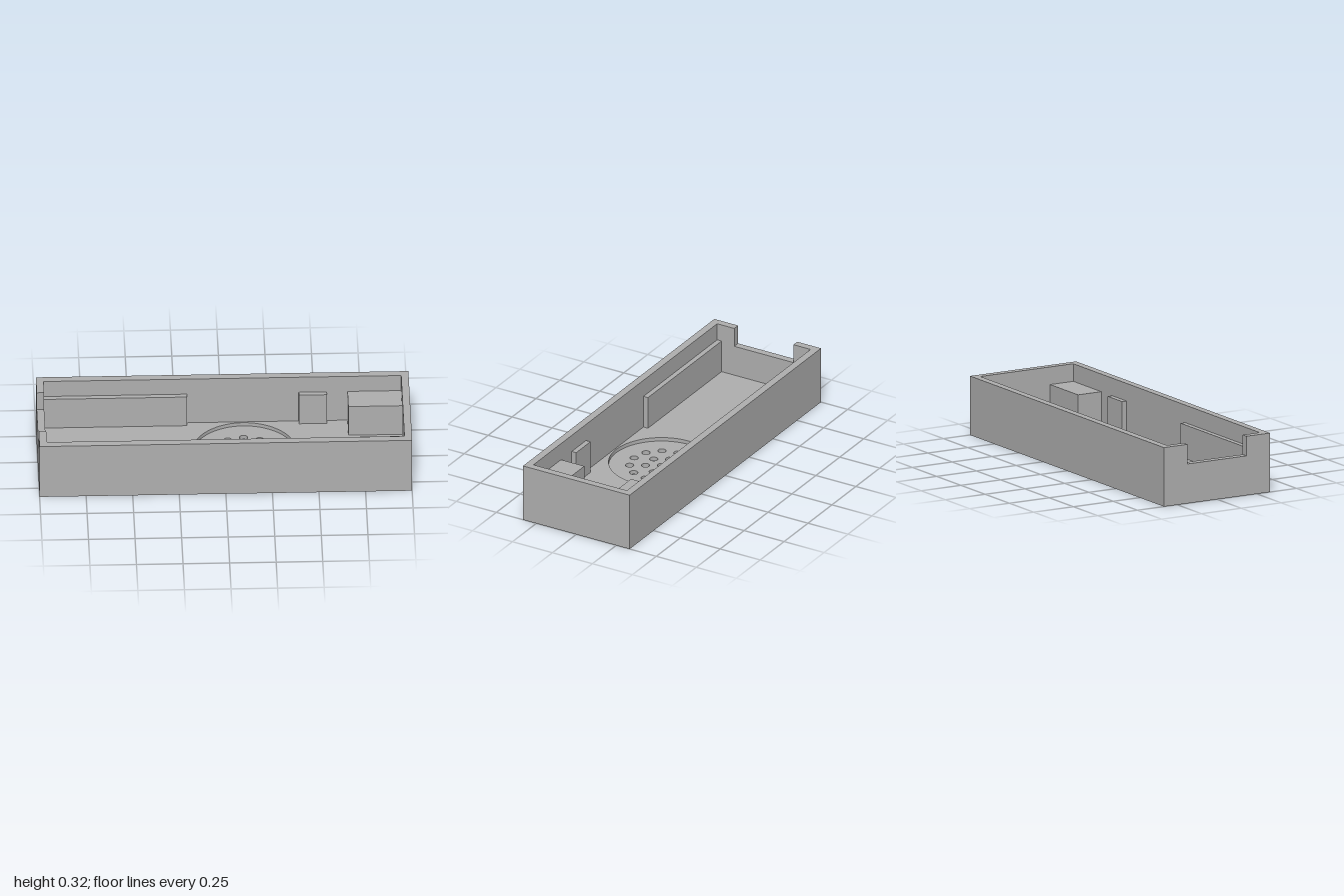
import * as THREE from 'three';
import { toCreasedNormals } from 'three/addons/utils/BufferGeometryUtils.js';

// Main dimensions
const HX = 1, HZ = 0.3335;          // outer half sizes
const IX = 0.96, IZ = 0.292;        // inner half sizes
const TOP = 0.325, FLOOR = 0.043, RECESS = 0.022;
const SILL = 0.217, NOTCH = 0.185;  // end wall cut-out
const FITTING_TOP = 0.228;
const GRILLE_X = 0.11;

export function createModel() {
  const group = new THREE.Group();
  const grey = new THREE.MeshStandardMaterial({ color: 0xb0b0b0 });
  grey.name = 'grey plastic';

  const add = (name, geometry) => {
    const mesh = new THREE.Mesh(geometry, grey);
    mesh.name = name;
    group.add(mesh);
  };

  // Closed outline from [x, z] corners
  const outline = (points, Type = THREE.Shape) =>
    new Type(points.map(([x, z]) => new THREE.Vector2(x, z)));
  const rect = (x, z, Type) => outline([[-x, -z], [x, -z], [x, z], [-x, z]], Type);
  const circle = (x, z, r) => new THREE.Path().absarc(x, z, r, 0, Math.PI * 2, true);

  // Extrude a plan outline upward between two heights
  const slab = (name, shape, y0, y1) => {
    const geometry = new THREE.ExtrudeGeometry(shape, {
      depth: y1 - y0, bevelEnabled: false, curveSegments: 48,
    });
    geometry.rotateX(-Math.PI / 2).translate(0, y0, 0);
    add(name, toCreasedNormals(geometry, 0.5));
  };

  // Base plate with the perforated grille: centre hole and two rings
  const base = rect(HX, HZ);
  for (const [radius, count] of [[0, 1], [0.0855, 6], [0.171, 12]]) {
    for (let i = 0; i < count; i++) {
      const a = (i / count) * Math.PI * 2;
      base.holes.push(circle(GRILLE_X + radius * Math.cos(a), radius * Math.sin(a), 0.0225));
    }
  }
  slab('basePlate', base, 0, RECESS);

  // Inner floor around the round recess
  const floor = rect(IX, IZ);
  floor.holes.push(circle(GRILLE_X, 0, 0.284));
  slab('innerFloor', floor, RECESS, FLOOR);

  // Lower wall, complete all round
  const wall = rect(HX, HZ);
  wall.holes.push(rect(IX, IZ, THREE.Path));
  slab('lowerWall', wall, RECESS, SILL);

  // Upper wall, open at the notch in the -x end
  slab('upperWall', outline([
    [-HX, -HZ], [HX, -HZ], [HX, HZ], [-HX, HZ], [-HX, NOTCH], [-IX, NOTCH],
    [-IX, IZ], [IX, IZ], [IX, -IZ], [-IX, -IZ], [-IX, -NOTCH], [-HX, -NOTCH],
  ]), SILL, TOP);

  // Fittings along both long walls: [name, x start, x end, inner z]
  const fittings = [
    ['longRail', -IX, -0.19, 0.264],
    ['shortRail', 0.41, 0.56, 0.264],
    ['cornerBlock', 0.672, IX, 0.146],
  ];
  for (const [name, x0, x1, z0] of fittings) {
    for (const side of [-1, 1]) {
      const box = new THREE.BoxGeometry(x1 - x0, FITTING_TOP - FLOOR, IZ - z0);
      box.translate((x0 + x1) / 2, (FITTING_TOP + FLOOR) / 2, side * (IZ + z0) / 2);
      add(name + (side > 0 ? 'Front' : 'Back'), box);
    }
  }
  return group;
}
